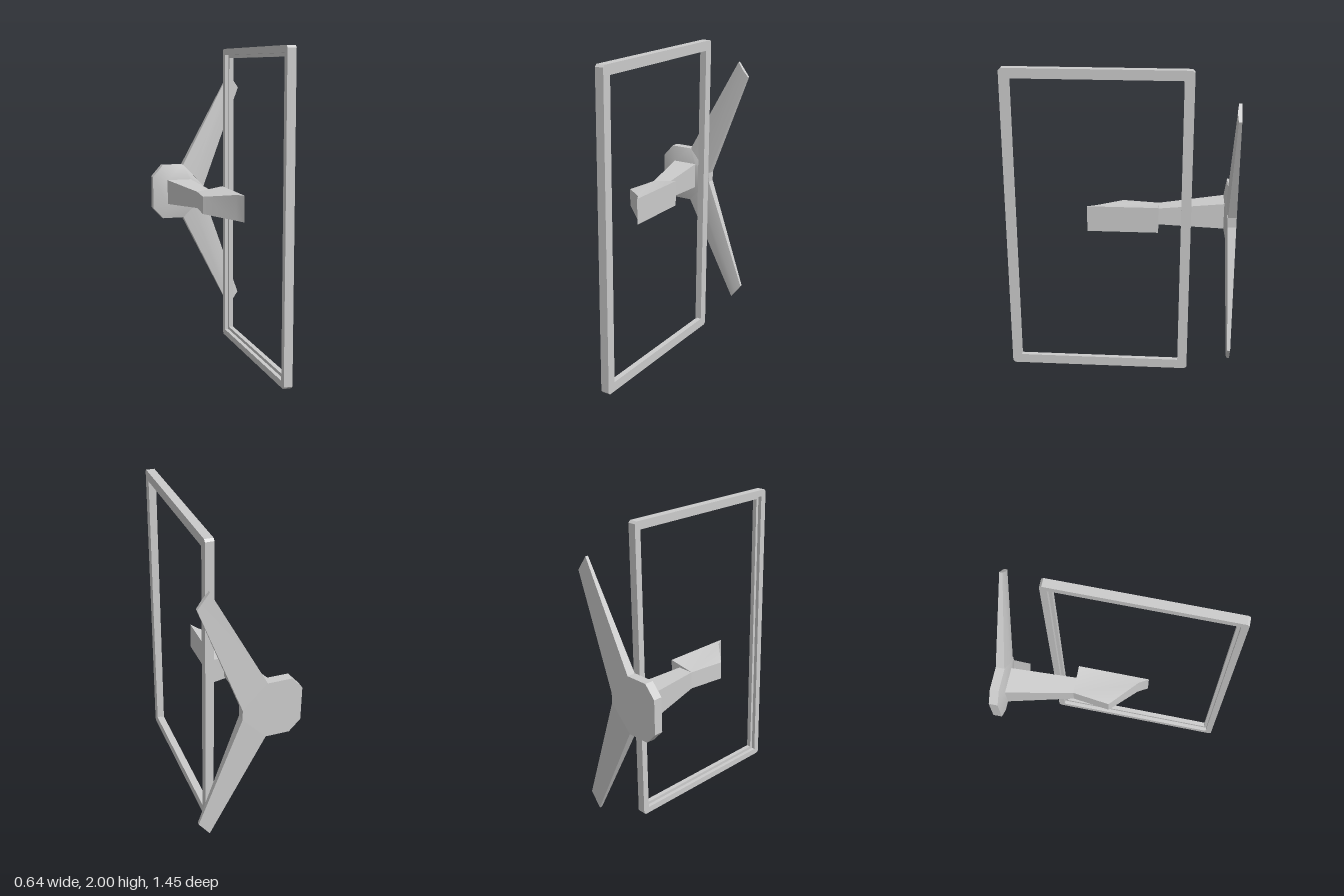
import * as THREE from 'three';
import { toCreasedNormals } from 'three/addons/utils/BufferGeometryUtils.js';

const grey = new THREE.MeshStandardMaterial({ color: 0xcccccc, side: THREE.DoubleSide });

// Closed skin through rings of equal point count, capped at both ends.
function loft(rings, crease = 0.5) {
  const n = rings[0].length;
  const tris = [];
  for (let r = 0; r < rings.length - 1; r++) {
    for (let i = 0; i < n; i++) {
      const j = (i + 1) % n;
      const a = rings[r][i], b = rings[r][j], c = rings[r + 1][j], d = rings[r + 1][i];
      tris.push([a, b, c], [a, c, d]);
    }
  }
  const first = rings[0], last = rings[rings.length - 1];
  for (let i = 1; i < n - 1; i++) {
    tris.push([first[0], first[i + 1], first[i]], [last[0], last[i], last[i + 1]]);
  }
  // Turn the skin outward when its signed volume is negative.
  const o = new THREE.Vector3(...first[0]);
  let volume = 0;
  for (const t of tris) {
    const [a, b, c] = t.map(p => new THREE.Vector3(...p).sub(o));
    volume += a.dot(b.cross(c));
  }
  if (volume < 0) tris.forEach(t => t.reverse());
  const g = new THREE.BufferGeometry();
  g.setAttribute('position', new THREE.Float32BufferAttribute(tris.flat(2), 3));
  g.computeVertexNormals();
  return toCreasedNormals(g, crease);
}

function part(name, geometry) {
  const m = new THREE.Mesh(geometry, grey);
  m.name = name;
  return m;
}

// Upright rectangular ring in the z-y plane, running from x toward -x.
function ring(name, x, depth, width) {
  const z0 = -0.437, z1 = 0.727, y0 = 0, y1 = 2, c = 0.014;
  const shape = new THREE.Shape([
    [z0 + c, y0], [z1 - c, y0], [z1, y0 + c], [z1, y1 - c],
    [z1 - c, y1], [z0 + c, y1], [z0, y1 - c], [z0, y0 + c],
  ].map(p => new THREE.Vector2(...p)));
  const w = width;
  shape.holes.push(new THREE.Path([
    [z0 + w, y0 + w], [z0 + w, y1 - w], [z1 - w, y1 - w], [z1 - w, y0 + w],
  ].map(p => new THREE.Vector2(...p))));
  const g = new THREE.ExtrudeGeometry(shape, { depth, bevelEnabled: false });
  g.rotateY(-Math.PI / 2).translate(x, 0, 0);
  return part(name, g);
}

// Wing section between two edge points: flat back, ridged front.
function wingSection([ax, ay], [bx, by], back, rim, ridge) {
  return [
    [ax, ay, back], [bx, by, back], [bx, by, rim],
    [(ax + bx) / 2, (ay + by) / 2, ridge], [ax, ay, rim],
  ];
}

export function createModel() {
  const model = new THREE.Group();

  // Screen frame: wide front lip, narrower rear wall
  const frame = new THREE.Group();
  frame.name = 'screenFrame';
  frame.add(ring('frontLip', 0.177, 0.03, 0.062), ring('rearWall', 0.147, 0.025, 0.042));
  model.add(frame);

  // Base hub: eight-sided plate rising to a square foot
  const outline = [
    [-0.32, 0.89], [-0.25, 0.815], [-0.1, 0.815], [0.05, 0.97],
    [0.05, 1.035], [-0.1, 1.193], [-0.25, 1.193], [-0.32, 1.114],
  ];
  const L = -0.22, R = -0.05, B = 0.92, T = 1.09;
  const foot = [[L, B], [L, B], [R, B], [R, B], [R, T], [R, T], [L, T], [L, T]];
  const at = (pts, z) => pts.map(([x, y]) => [x, y, z]);
  const base = new THREE.Group();
  base.name = 'standBase';
  base.add(part('baseHub', loft([at(outline, -0.727), at(outline, -0.67), at(foot, -0.65)])));

  // Two tapering wings
  const wings = [
    ['upperLeg', outline[5], outline[4], [0.245, 1.83], [0.317, 1.735]],
    ['lowerLeg', outline[2], outline[3], [0.245, 0.133], [0.317, 0.228]],
  ];
  for (const [name, rootA, rootB, tipA, tipB] of wings) {
    base.add(part(name, loft([
      wingSection(rootA, rootB, -0.727, -0.672, -0.661),
      wingSection(tipA, tipB, -0.711, -0.692, -0.685),
    ], 0.7)));
  }
  model.add(base);

  // Neck from the foot to the head
  const rect = (x0, x1, y0, y1, z) => [[x0, y0, z], [x1, y0, z], [x1, y1, z], [x0, y1, z]];
  model.add(part('neck', loft([
    rect(L, R, B, T, -0.65),
    rect(-0.125, -0.02, 0.95, 1.06, -0.23),
  ])));

  // Wedge-shaped head, taller toward the screen: [x, z, half height]
  const head = [
    [-0.125, -0.23, 0.055], [-0.02, -0.23, 0.066], [0.05, -0.23, 0.085],
    [0.05, 0.225, 0.085], [0.015, 0.165, 0.082], [-0.155, 0.005, 0.056],
  ];
  const side = s => head.map(([x, z, h]) => [x, 1.005 + s * h, z]);
  model.add(part('mountHead', loft([side(-1), side(1)])));

  return model;
}
